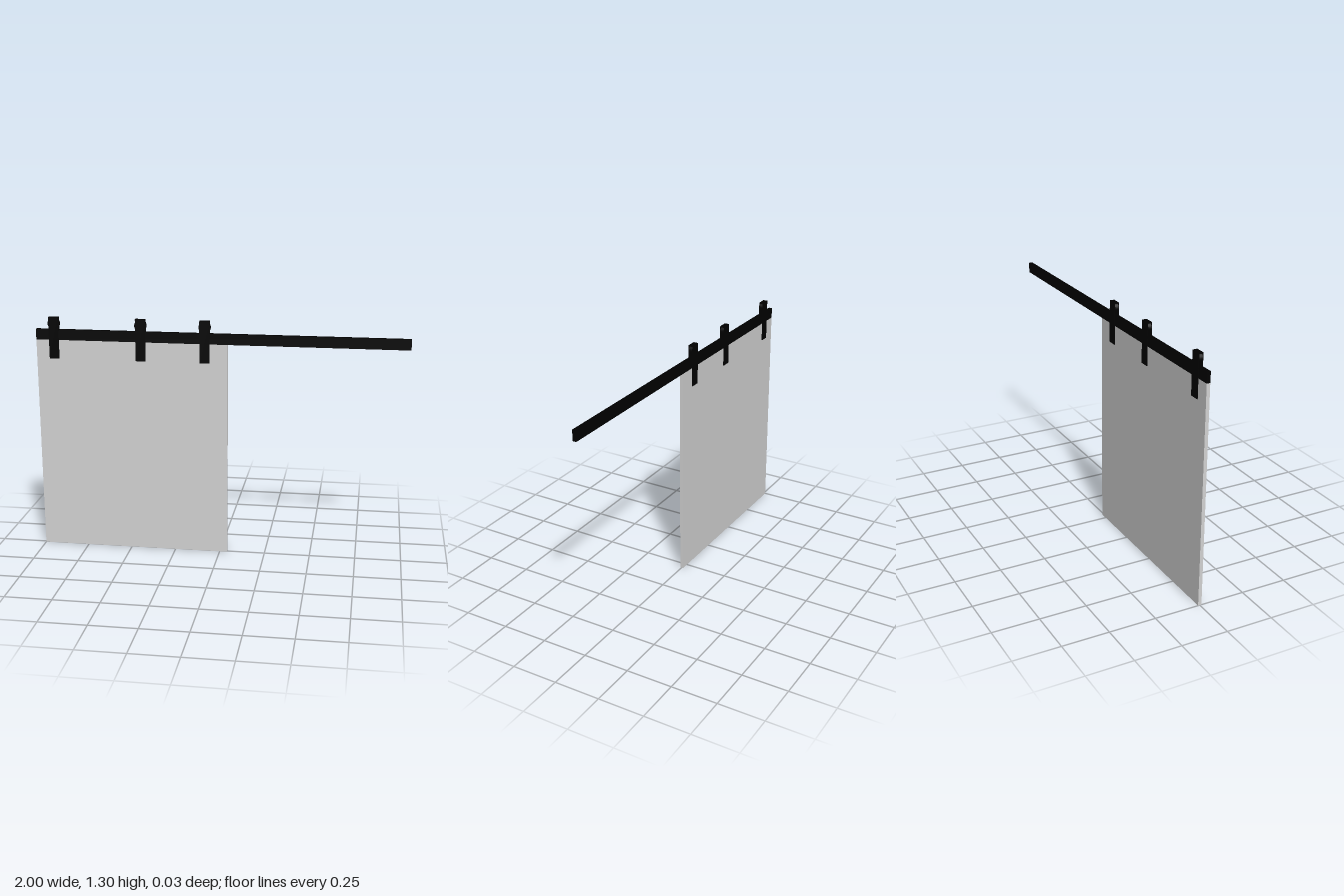
import * as THREE from 'three';

export function createModel() {
  const root = new THREE.Group();
  root.name = 'slidingDoor';
  const black = new THREE.MeshStandardMaterial({ color: 0x000000 });
  black.name = 'black metal';
  const grey = new THREE.MeshStandardMaterial({ color: 0xd4d4d4 });
  grey.name = 'pale grey panel';

  // Box given by its lower and upper corners
  function box(parent, name, material, [x0, y0, z0], [x1, y1, z1]) {
    const mesh = new THREE.Mesh(new THREE.BoxGeometry(x1 - x0, y1 - y0, z1 - z0), material);
    mesh.position.set((x0 + x1) / 2, (y0 + y1) / 2, (z0 + z1) / 2);
    mesh.name = name;
    parent.add(mesh);
  }

  // Door panel and the rail it hangs from
  box(root, 'doorPanel', grey, [-1, 0, -0.0095], [0.042, 1.177, 0.0095]);
  box(root, 'rail', black, [-1, 1.177, -0.01], [1, 1.234, 0.01]);

  // Hangers: straps front and back, a cap, and a roller running on the rail
  const half = 0.027, inner = 0.0095, outer = 0.0125, top = 1.3;
  for (const x of [-0.902, -0.427, -0.081]) {
    const hanger = new THREE.Group();
    hanger.name = 'hanger';
    hanger.position.x = x;
    box(hanger, 'frontStrap', black, [-half, 1.074, inner], [half, top, outer]);
    box(hanger, 'backStrap', black, [-half, 1.074, -outer], [half, top, -inner]);
    box(hanger, 'strapCap', black, [-half, top - 0.006, -inner], [half, top, inner]);

    const roller = new THREE.Mesh(new THREE.CylinderGeometry(0.032, 0.032, inner * 2, 32), black);
    roller.name = 'roller';
    roller.rotation.x = Math.PI / 2;
    roller.position.y = 1.266;
    hanger.add(roller);
    root.add(hanger);
  }
  return root;
}
